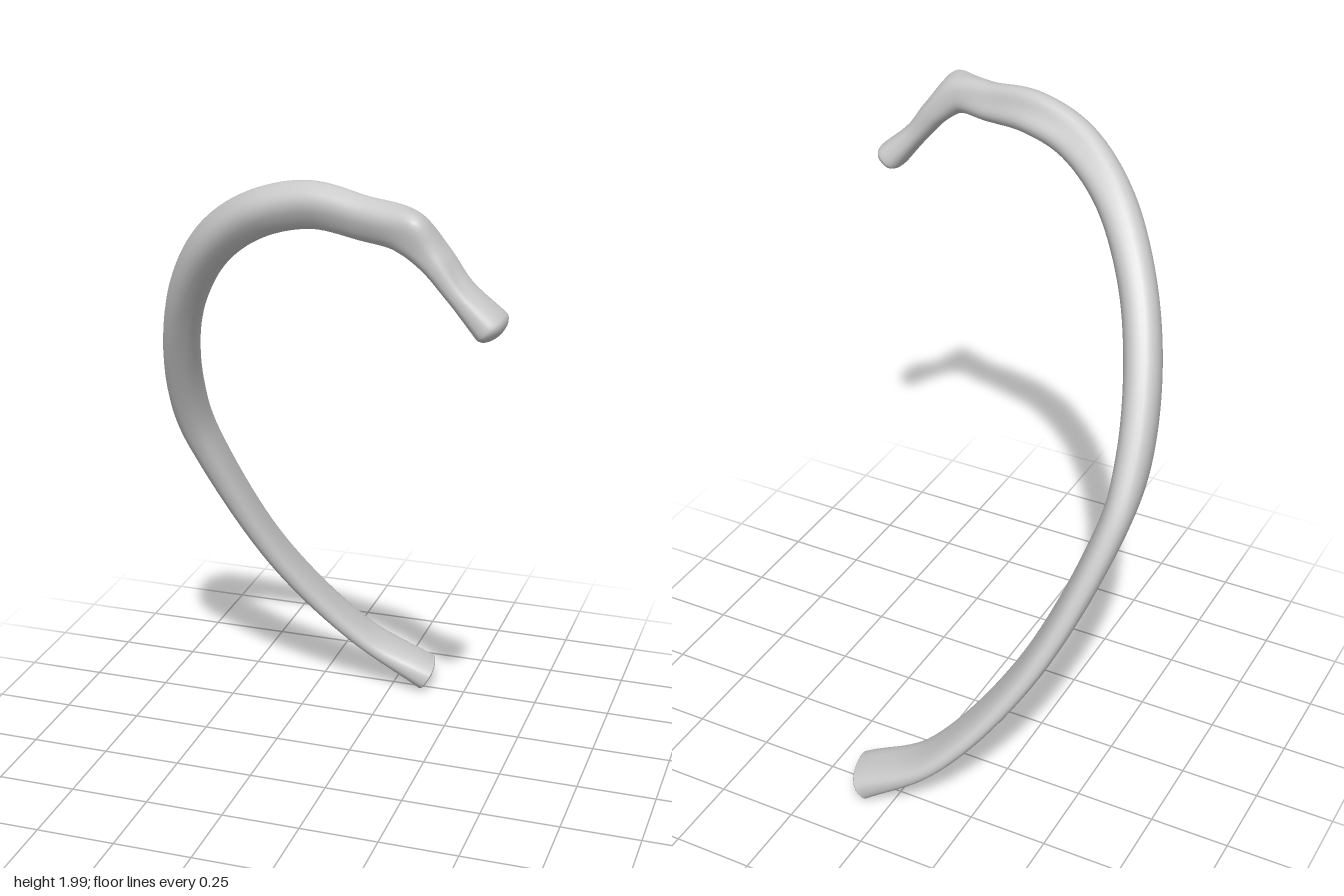
import * as THREE from 'three';

// Path from the lower tip to the head: centre x, y, z, half thickness, half width
const STATIONS = [
  [0.11, 0.053, -0.525, 0.052, 0.088],
  [-0.11, 0.192, -0.485, 0.033, 0.09],
  [-0.358, 0.52, -0.34, 0.036, 0.092],
  [-0.53, 0.98, -0.137, 0.045, 0.092],
  [-0.546, 1.15, -0.05, 0.052, 0.088],
  [-0.512, 1.37, 0.072, 0.056, 0.086],
  [-0.426, 1.59, 0.205, 0.057, 0.08],
  [-0.285, 1.777, 0.335, 0.06, 0.07],
  [-0.12, 1.888, 0.42, 0.065, 0.06],
  [0.04, 1.93, 0.457, 0.066, 0.056],
  [0.2, 1.916, 0.5, 0.06, 0.052],
  [0.33, 1.9, 0.54, 0.056, 0.058],
  [0.41, 1.835, 0.543, 0.043, 0.06],
  [0.475, 1.755, 0.541, 0.036, 0.06],
  [0.563, 1.66, 0.529, 0.046, 0.074],
];
// Direction of the section's wide axis, evenly spaced along the path
const WIDE_AXES = [
  [0.25, 0.05, 0.97],
  [0.4, -0.28, 0.87],
  [0.22, -0.45, 0.87],
  [0.25, -0.55, 0.79],
  [0.12, -0.52, 0.84],
  [0, -0.35, 0.94],
  [0, -0.03, 1],
  [0, 0, 1],
];
const SIDES = 32, RINGS = 150, CAP = 7;

const curve = (rows) => new THREE.CatmullRomCurve3(rows.map(([x, y, z]) => new THREE.Vector3(x, y, z)));
const centres = curve(STATIONS);
const sizes = curve(STATIONS.map((s) => [s[3], s[4], 0]));
const wideAxes = curve(WIDE_AXES);

const KNOB = new THREE.Vector3(0.36, 1.93, 0.59);
const KNOB_PUSH = new THREE.Vector3(0.012, 0.018, 0.016);

const bell = (d, w) => Math.exp(-(d * d) / (w * w));
const power = (v, e) => Math.sign(v) * Math.pow(Math.abs(v), e);

// One rounded cross-section; shift moves it along the path, scale shrinks it
function ring(u, shift, scale) {
  const c = centres.getPoint(u), t = centres.getTangent(u);
  const w = wideAxes.getPoint(u).normalize(), size = sizes.getPoint(u);
  const n = w.clone().cross(t).normalize();
  c.addScaledVector(t, shift);
  const points = [];
  for (let j = 0; j < SIDES; j++) {
    const a = (j / SIDES) * Math.PI * 2;
    // Shallow groove along the back of the upper bend, and a dip in the neck
    const groove = 1 - 0.2 * bell(u - 0.65, 0.09) * bell(a - 1.5 * Math.PI, 0.4);
    const dip = 1 - 0.22 * bell(u - 0.91, 0.04) * bell(a - 0.5, 0.5);
    const k = scale * groove * dip;
    const p = c.clone()
      .addScaledVector(n, k * size.x * power(Math.cos(a), 0.8))
      .addScaledVector(w, k * size.y * power(Math.sin(a), 0.8));
    // Tubercle: a small knob where the shaft meets the neck
    p.addScaledVector(KNOB_PUSH, bell(p.distanceTo(KNOB), 0.055));
    points.push(p);
  }
  return points;
}

// Smooth skin over a list of rings
function skin(rings) {
  const index = [];
  for (let i = 0; i < rings.length - 1; i++) {
    for (let j = 0; j < SIDES; j++) {
      const a = i * SIDES + j, b = i * SIDES + (j + 1) % SIDES;
      index.push(a, b, a + SIDES, b, b + SIDES, a + SIDES);
    }
  }
  const geometry = new THREE.BufferGeometry().setFromPoints(rings.flat());
  geometry.setIndex(index);
  geometry.computeVertexNormals();
  return geometry;
}

export function createModel() {
  const group = new THREE.Group();
  group.name = 'rib';
  const material = new THREE.MeshStandardMaterial({ color: 0xcccccc });
  const add = (name, rings) => {
    const mesh = new THREE.Mesh(skin(rings), material);
    mesh.name = name;
    group.add(mesh);
  };
  // Ring of a domed end, closing to a point as i reaches CAP
  const domeRing = (u, height, i) => {
    const a = (i / CAP) * Math.PI / 2;
    return ring(u, height * Math.sin(a), Math.max(Math.cos(a), 0.002));
  };

  // Shaft, neck and rounded head in one continuous skin
  const body = [];
  for (let i = 0; i <= RINGS; i++) body.push(ring(i / RINGS, 0, 1));
  for (let i = 1; i <= CAP; i++) body.push(domeRing(1, 0.032, i));
  add('shaftAndHead', body);

  // Nearly flat face on the lower tip, with its own crisp edge
  const tip = [];
  for (let i = CAP; i >= 0; i--) tip.push(domeRing(0, -0.012, i));
  add('tipFace', tip);
  return group;
}
